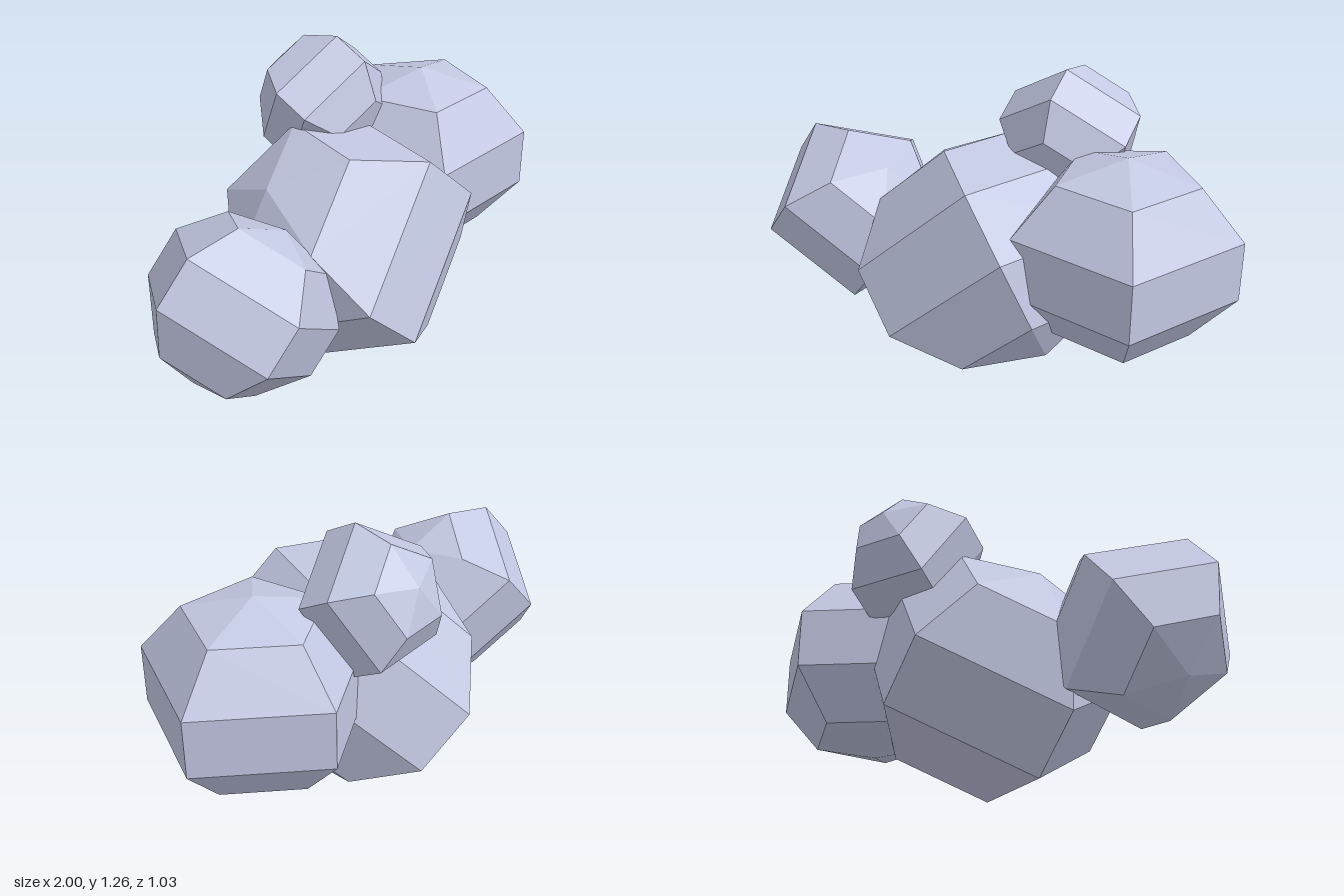
import * as THREE from 'three';

// Low-poly cloud: four squashed five-sided spheres, each with its own tilt.
const SQUASH = 0.83;

const cloudMaterial = new THREE.MeshStandardMaterial({ color: 0xc4c9e4, flatShading: true });
cloudMaterial.name = 'pale lavender grey';

// pole: direction of the squashed axis; corner: direction of one side corner
function puff(name, radius, centre, pole, corner) {
  const geometry = new THREE.SphereGeometry(radius, 5, 5);
  geometry.scale(1, SQUASH, 1);

  const y = new THREE.Vector3(...pole).normalize();
  const x = new THREE.Vector3(...corner).negate();
  const z = new THREE.Vector3().crossVectors(x, y).normalize();
  x.crossVectors(y, z);

  const mesh = new THREE.Mesh(geometry, cloudMaterial);
  mesh.name = name;
  mesh.quaternion.setFromRotationMatrix(new THREE.Matrix4().makeBasis(x, y, z));
  mesh.position.set(...centre);
  return mesh;
}

export function createModel() {
  const cloud = new THREE.Group();
  cloud.name = 'cloud';
  cloud.add(
    puff('mainPuff', 0.563, [0.002, 0.502, 0.032], [-0.66, 0.694, -0.289], [0.329, 0.592, 0.735]),
    puff('leftPuff', 0.468, [0.56, 0.657, 0.04], [0, 1, 0], [0.988, 0, -0.156]),
    puff('rightPuff', 0.396, [-0.653, 0.546, 0.032], [0.61, 0.76, 0.208], [-0.753, 0.643, -0.127]),
    puff('topPuff', 0.298, [0.217, 0.973, -0.218], [0, 0.489, -0.872], [0, 0.872, 0.489]),
  );
  return cloud;
}
